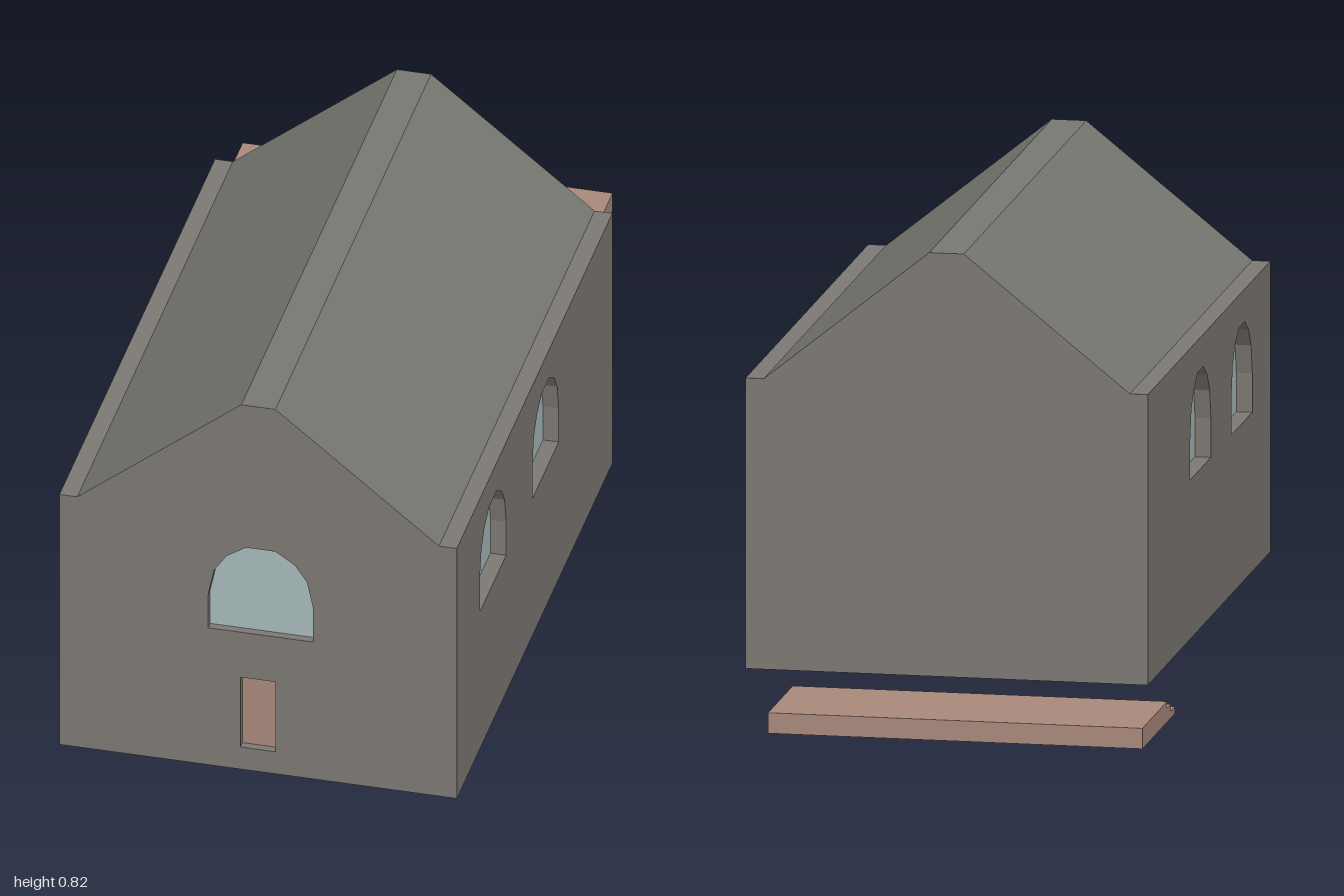
import * as THREE from 'three';

const mat = (color) => new THREE.MeshStandardMaterial({ color, flatShading: true });

const polygon = (points) => points.map(([x, y]) => new THREE.Vector2(x, y));

// Arched window outline centred on cx, mirrored left to right
function archOutline(cx) {
  const half = [[0.103, 0.31], [0.103, 0.386], [0.091, 0.443], [0.067, 0.478], [0.029, 0.503]];
  const right = half.map(([x, y]) => [cx + x, y]);
  const left = half.map(([x, y]) => [cx - x, y]).reverse();
  return polygon([...right, ...left]);
}

const rectOutline = (x0, x1, y0, y1) => polygon([[x0, y0], [x1, y0], [x1, y1], [x0, y1]]);

function slab(outline, holes, depth) {
  const shape = new THREE.Shape(outline);
  for (const h of holes) shape.holes.push(new THREE.Path(h));
  return new THREE.ExtrudeGeometry(shape, { depth, bevelEnabled: false });
}

export function createModel() {
  const group = new THREE.Group();
  const wall = mat(0x7d7873), roofMat = mat(0x787872), glass = mat(0xa6b9b9), brick = mat(0xa9897c);

  const add = (name, geometry, material, x = 0, y = 0, z = 0) => {
    const mesh = new THREE.Mesh(geometry, material);
    mesh.name = name;
    mesh.position.set(x, y, z);
    group.add(mesh);
    return mesh;
  };

  // Main dimensions of the hall
  const x0 = -0.32, x1 = 0.46, back = -0.215, front = 1, eave = 0.566;
  const side = 0.035, face = 0.02, pane = 0.004;
  const cx = (x0 + x1) / 2, inner = front - face;

  // Solid core behind the wall slabs
  add('core', new THREE.BoxGeometry(x1 - x0 - 2 * side, eave, inner - back), wall,
    cx, eave / 2, (inner + back) / 2);

  // Front wall with recessed window and door
  const window = archOutline(0.075);
  const door = rectOutline(0.035, 0.104, 0.05, 0.208);
  add('frontWall', slab(rectOutline(x0, x1, 0, eave), [window, door], face), wall, 0, 0, inner);
  add('frontWindow', slab(window, [], pane), glass, 0, 0, inner);
  add('door', slab(door, [], pane), brick, 0, 0, inner);

  // Side walls, each with two arched windows (outlines drawn in -z, y)
  const sideWindows = [0.7175, 0.3075].map((z) => archOutline(-z));
  for (const [name, x, paneX] of [
    ['left', x1 - side, x1 - side],
    ['right', x0, x0 + side - pane],
  ]) {
    add(name + 'Wall', slab(rectOutline(-inner, -back, 0, eave), sideWindows, side), wall, x)
      .rotation.y = Math.PI / 2;
    sideWindows.forEach((outline, i) => {
      add(`${name}Window${i + 1}`, slab(outline, [], pane), glass, paneX).rotation.y = Math.PI / 2;
    });
  }

  // Roof with a flat ridge, set in from the eaves; gable ends match the walls
  const gable = polygon([[x0 + side, eave], [x1 - side, eave], [0.104, 0.825], [0.037, 0.825]]);
  add('roof', slab(gable, [], front - back), [wall, roofMat], 0, 0, back);

  // Detached stepped platform behind the hall (profile drawn in -z, y)
  const steps = polygon([
    [0.675, 0.05], [1, 0.05], [1, 0.09], [0.755, 0.09],
    [0.755, 0.077], [0.718, 0.077], [0.718, 0.063], [0.675, 0.063],
  ]);
  add('steppedPlatform', slab(steps, [], 0.726), brick, -0.463).rotation.y = Math.PI / 2;

  return group;
}
